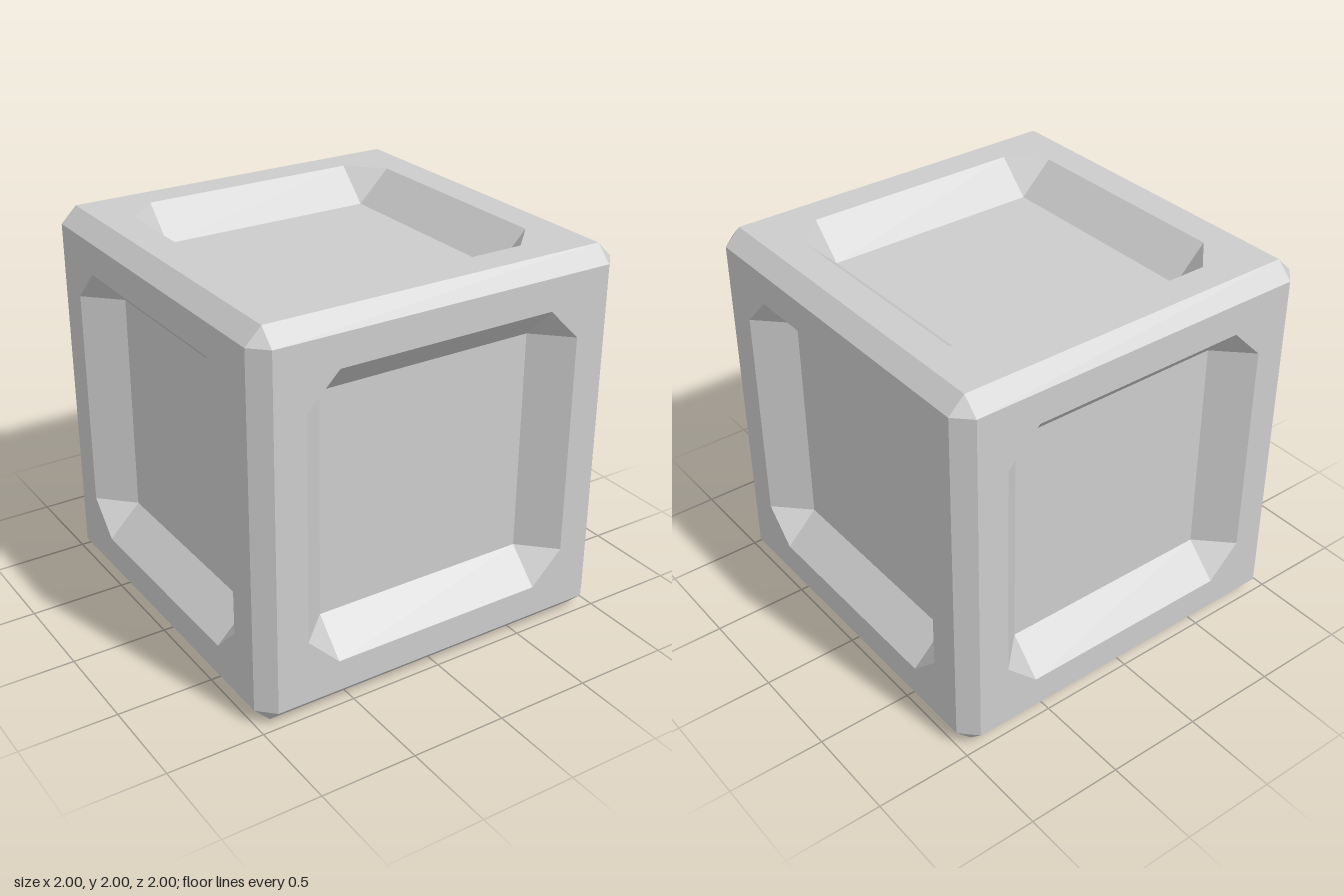
import * as THREE from 'three';

const EDGE = 0.917;   // half-width of each flat face inside the edge bevels
const RIM = 0.752;    // half-width of the recess at the surface
const FLOOR = 0.583;  // half-width of the recess floor
const DEPTH = 0.168;  // depth of the recess

// Flat convex polygons, each a counter-clockwise list of [x, y, z]
function polygons(list) {
  const pos = [];
  for (const p of list) {
    for (let i = 1; i < p.length - 1; i++) pos.push(...p[0], ...p[i], ...p[i + 1]);
  }
  const geo = new THREE.BufferGeometry();
  geo.setAttribute('position', new THREE.Float32BufferAttribute(pos, 3));
  geo.computeVertexNormals();
  return geo;
}

// Reverses a polygon that faces the cube's centre
function outward(p) {
  const [a, b, c] = p.map((v) => new THREE.Vector3(...v));
  const normal = b.clone().sub(a).cross(c.clone().sub(a));
  return normal.dot(a) < 0 ? p.reverse() : p;
}

export function createModel() {
  const model = new THREE.Group();
  model.name = 'panelledCube';
  const grey = new THREE.MeshStandardMaterial({ color: 0xcccccc });
  grey.name = 'light grey';

  const add = (parent, name, geometry) => {
    const mesh = new THREE.Mesh(geometry, grey);
    mesh.name = name;
    parent.add(mesh);
    return mesh;
  };

  // Square frame with a cut-corner opening
  const points = (list) => list.map(([x, y]) => new THREE.Vector2(x, y));
  const frame = new THREE.Shape(points([[-EDGE, -EDGE], [EDGE, -EDGE], [EDGE, EDGE], [-EDGE, EDGE]]));
  frame.holes.push(new THREE.Path(points([
    [-FLOOR, -RIM], [-RIM, -FLOOR], [-RIM, FLOOR], [-FLOOR, RIM],
    [FLOOR, RIM], [RIM, FLOOR], [RIM, -FLOOR], [FLOOR, -RIM],
  ])));
  const frameGeo = new THREE.ShapeGeometry(frame);
  const floorGeo = new THREE.PlaneGeometry(FLOOR * 2, FLOOR * 2);

  // One sloping wall and one corner facet, repeated round the recess
  const wallGeo = polygons([
    [[-FLOOR, FLOOR, -DEPTH], [FLOOR, FLOOR, -DEPTH], [FLOOR, RIM, 0], [-FLOOR, RIM, 0]],
    [[FLOOR, FLOOR, -DEPTH], [RIM, FLOOR, 0], [FLOOR, RIM, 0]],
  ]);

  // Six recessed faces
  const h = Math.PI / 2;
  const faces = {
    front: [0, 0], left: [0, h], back: [0, 2 * h], right: [0, -h], top: [-h, 0], bottom: [h, 0],
  };
  for (const [name, [rx, ry]] of Object.entries(faces)) {
    const face = new THREE.Group();
    face.name = name + 'Face';
    face.rotation.set(rx, ry, 0);
    add(face, name + 'Frame', frameGeo).position.z = 1;
    add(face, name + 'RecessFloor', floorGeo).position.z = 1 - DEPTH;
    for (let i = 0; i < 4; i++) {
      const wall = add(face, name + 'RecessWall', wallGeo);
      wall.position.z = 1;
      wall.rotation.z = i * h;
    }
    face.position.y = 1;
    model.add(face);
  }

  // Twelve edge bevels and eight corner facets
  const bevels = [];
  const corners = [];
  for (const s of [-1, 1]) {
    for (const t of [-1, 1]) {
      for (let axis = 0; axis < 3; axis++) {
        const at = (along, u, v) => {
          const p = [0, 0, 0];
          p[axis] = along;
          p[(axis + 1) % 3] = u * s;
          p[(axis + 2) % 3] = v * t;
          return p;
        };
        bevels.push(outward([at(-EDGE, 1, EDGE), at(EDGE, 1, EDGE), at(EDGE, EDGE, 1), at(-EDGE, EDGE, 1)]));
      }
      for (const r of [-1, 1]) {
        corners.push(outward([
          [s, t * EDGE, r * EDGE], [s * EDGE, t, r * EDGE], [s * EDGE, t * EDGE, r],
        ]));
      }
    }
  }
  add(model, 'edgeBevels', polygons(bevels)).position.y = 1;
  add(model, 'cornerFacets', polygons(corners)).position.y = 1;

  return model;
}
